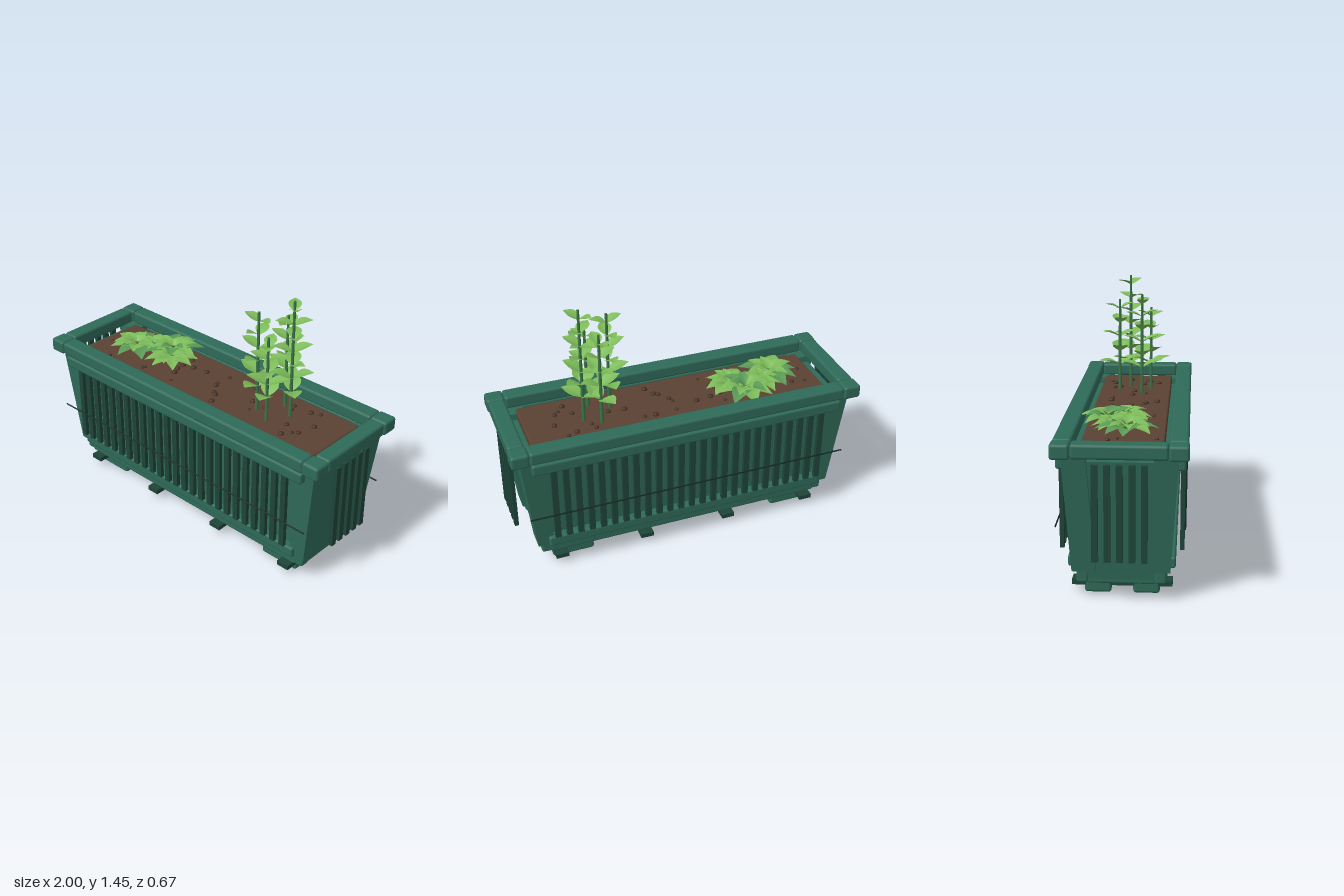
import * as THREE from 'three';
import { RoundedBoxGeometry } from 'three/addons/geometries/RoundedBoxGeometry.js';

const mat = (name, color, side = THREE.FrontSide) => {
  const m = new THREE.MeshStandardMaterial({ color, side });
  m.name = name;
  return m;
};

export function createModel() {
  const green = mat('planter green', 0x2f6a58);
  const dark = mat('dark slat green', 0x1e4438);
  const wireMat = mat('wire black green', 0x12241e);
  const soilMat = mat('soil brown', 0x5a4232);
  const pebbleMat = mat('dark soil', 0x443023);
  const leafLight = mat('light leaf', 0x7dbb5a, THREE.DoubleSide);
  const leafDeep = mat('deep leaf', 0x5a9a56, THREE.DoubleSide);
  const stemMat = mat('stem green', 0x3a7548);

  const model = new THREE.Group();
  model.name = 'planterBox';
  const group = (name) => {
    const g = new THREE.Group();
    g.name = name;
    model.add(g);
    return g;
  };
  const add = (parent, name, geo, material, x = 0, y = 0, z = 0) => {
    const m = new THREE.Mesh(geo, material);
    m.name = name;
    m.position.set(x, y, z);
    parent.add(m);
    return m;
  };
  // Box given by its ranges, with softened edges when r > 0
  const box = (parent, name, [x0, x1], [y0, y1], [z0, z1], material = green, r = 0.012) => {
    const s = [x1 - x0, y1 - y0, z1 - z0];
    const geo = r ? new RoundedBoxGeometry(...s, 2, r) : new THREE.BoxGeometry(...s);
    return add(parent, name, geo, material, (x0 + x1) / 2, (y0 + y1) / 2, (z0 + z1) / 2);
  };
  // Box whose bottom and top rectangles differ: [x0, x1, z0, z1]
  const taper = (parent, name, bottom, top, y0, y1, material = green) => {
    const geo = new THREE.BoxGeometry(1, 1, 1);
    const p = geo.attributes.position;
    for (let i = 0; i < p.count; i++) {
      const r = p.getY(i) > 0 ? top : bottom;
      p.setXYZ(i, p.getX(i) > 0 ? r[1] : r[0], p.getY(i) > 0 ? y1 : y0, p.getZ(i) > 0 ? r[3] : r[2]);
    }
    geo.computeVertexNormals();
    return add(parent, name, geo, material);
  };
  // Mirrored range on either side of zero
  const span = (s, a, b) => (s > 0 ? [a, b] : [-b, -a]);
  const sides = [-1, 1];

  // Tapered body with corner posts
  const body = group('body');
  taper(body, 'bodyWalls', [-0.85, 0.85, -0.215, 0.215], [0.92, 0.255].flatMap((v) => [-v, v]), 0.1, 0.73);
  for (const sx of sides) for (const sz of sides) {
    taper(body, 'cornerPost',
      [...span(sx, 0.79, 0.88), ...span(sz, 0.125, 0.245)],
      [...span(sx, 0.81, 0.95), ...span(sz, 0.165, 0.285)], 0.15, 0.765);
  }

  // Rim rails and corner blocks
  const rim = group('rim');
  for (const s of sides) {
    box(rim, 'longRail', [-0.9, 0.9], [0.76, 0.835], span(s, 0.235, 0.33), green, 0.015);
    box(rim, 'endRail', span(s, 0.905, 0.995), [0.76, 0.835], [-0.235, 0.235], green, 0.015);
    for (const sz of sides) box(rim, 'rimCorner', span(s, 0.9, 1), [0.757, 0.835], span(sz, 0.235, 0.333), green, 0.015);
  }

  // Long bands holding the slats, and the slats themselves
  const cladding = group('cladding');
  for (const s of sides) {
    box(cladding, 'upperBand', [-0.89, 0.89], [0.68, 0.745], span(s, 0.265, 0.317));
    box(cladding, 'lowerBand', [-0.82, 0.82], [0.15, 0.21], span(s, 0.215, 0.27));
    for (let i = -12; i <= 12; i++) {
      const x = i * 0.0648;
      box(cladding, 'longSlat', [x - 0.016, x + 0.016], [0.24, 0.73], span(s, 0.29, 0.312), dark, 0);
    }
    for (let i = -2; i <= 2; i++) {
      const z = i * 0.06;
      box(cladding, 'endSlat', span(s, 0.957, 0.98), [0.24, 0.73], [z - 0.016, z + 0.016], dark, 0);
    }
    // Thin wire along each long side
    const wire = add(cladding, 'wire', new THREE.CylinderGeometry(0.004, 0.004, 1.85, 8), wireMat, 0, 0.4, s * 0.316);
    wire.rotation.z = Math.PI / 2;
  }

  // Base frame, feet and cross bars
  const base = group('base');
  box(base, 'floor', [-0.82, 0.82], [0.095, 0.15], [-0.2, 0.2], dark, 0);
  for (const s of sides) {
    box(base, 'longBase', [-0.81, 0.81], [0.075, 0.15], span(s, 0.165, 0.228));
    box(base, 'endBase', span(s, 0.79, 0.85), [0.075, 0.15], [-0.17, 0.17]);
    for (const sz of sides) {
      box(base, 'baseCorner', span(s, 0.795, 0.857), [0.08, 0.155], span(sz, 0.165, 0.225));
      box(base, 'foot', span(s, 0.55, 0.79), [0, 0.072], span(sz, 0.055, 0.19), green, 0.015);
    }
    for (const x of [0.25, 0.75]) {
      box(base, 'crossBar', span(s, x - 0.037, x + 0.037), [0.04, 0.066], [-0.255, 0.255], dark, 0);
    }
    add(base, 'drainPlug', new THREE.CylinderGeometry(0.037, 0.03, 0.014, 16), dark, s * 0.228, 0.033, 0);
  }

  // Soil with scattered crumbs
  let seed = 7;
  const rand = () => (seed = (seed * 16807) % 2147483647) / 2147483647;
  for (let i = 0; i < 9; i++) rand();
  const soil = group('soil');
  box(soil, 'soilBed', [-0.855, 0.855], [0.69, 0.775], [-0.212, 0.208], soilMat, 0.01);
  const crumb = new THREE.IcosahedronGeometry(1, 1);
  for (let i = 0; i < 36; i++) {
    const c = add(soil, 'crumb', crumb, pebbleMat, (rand() - 0.5) * 1.58, 0.778, (rand() - 0.5) * 0.34);
    const r = 0.008 + rand() * 0.01;
    c.scale.set(r, r * 0.7, r);
  }

  // Pointed leaf along +z: cupped across, arched along
  const leafGeo = (len, wid, arch, droop) => {
    const geo = new THREE.PlaneGeometry(2, 1, 4, 8);
    const p = geo.attributes.position;
    for (let i = 0; i < p.count; i++) {
      const s = p.getX(i), t = p.getY(i) + 0.5;
      const half = (wid / 2) * Math.sin(Math.PI * Math.pow(t, 0.85)) + 0.003 * (1 - t);
      p.setXYZ(i, -s * half, Math.abs(s) * half * 0.25 + arch * Math.sin(Math.PI * t) - droop * t * t, len * t);
    }
    geo.computeVertexNormals();
    return geo;
  };
  const placeLeaf = (parent, geo, material, x, y, z, yaw, pitch, scale) => {
    const leaf = add(parent, 'leaf', geo, material, x, y, z);
    leaf.rotation.set(-pitch, yaw, 0, 'YXZ');
    leaf.scale.setScalar(scale);
  };

  // Low rosettes: [x, z, size, outer material, inner material]
  const rosetteLeaf = leafGeo(0.19, 0.105, 0.025, 0.02);
  const rosettes = [
    [-0.59, 0.02, 0.95, leafDeep, leafLight],
    [-0.4, -0.09, 0.95, leafLight, leafDeep],
    [-0.33, -0.01, 0.8, leafLight, leafLight],
    [-0.52, -0.05, 0.75, leafLight, leafLight],
  ];
  for (const [x, z, size, outer, inner] of rosettes) {
    const plant = group('rosettePlant');
    for (let ring = 0; ring < 3; ring++) {
      const n = 8 - ring * 2;
      for (let i = 0; i < n; i++) {
        const yaw = ((i + ring * 0.5) / n) * Math.PI * 2 + (rand() - 0.5) * 0.4;
        const material = ring === 0 ? (i % 4 === 3 ? inner : outer) : (i % 3 ? leafLight : inner);
        placeLeaf(plant, rosetteLeaf, material, x, 0.792 + ring * 0.014, z, yaw,
          0.22 + ring * 0.14, size * (1 - ring * 0.22) * (0.88 + rand() * 0.2));
      }
    }
  }

  // Upright stems with opposite leaf pairs: [x, z, top]
  const stemLeaf = leafGeo(0.125, 0.088, 0.01, -0.012);
  const stems = [
    [0.36, 0.04, 1.36],
    [0.445, -0.095, 1.32],
    [0.47, 0.09, 1.27],
    [0.53, -0.035, 1.45],
  ];
  stems.forEach(([x, z, top], k) => {
    const plant = group('stemPlant');
    const h = top - 0.76;
    add(plant, 'stem', new THREE.CylinderGeometry(0.007, 0.01, h, 10), stemMat, x, 0.76 + h / 2, z);
    const nodes = Math.round((top - 0.95) / 0.088);
    for (let j = 0; j <= nodes; j++) {
      const y = 0.925 + ((top - 0.055 - 0.925) * j) / nodes;
      for (const side of [0, Math.PI]) {
        const yaw = j * Math.PI / 2 + side + k * 0.25 + (rand() - 0.5) * 0.4;
        placeLeaf(plant, stemLeaf, leafLight, x, y, z, yaw, 0.12 + rand() * 0.22, 1.05 - 0.3 * (j / nodes));
      }
    }
  });

  return model;
}
